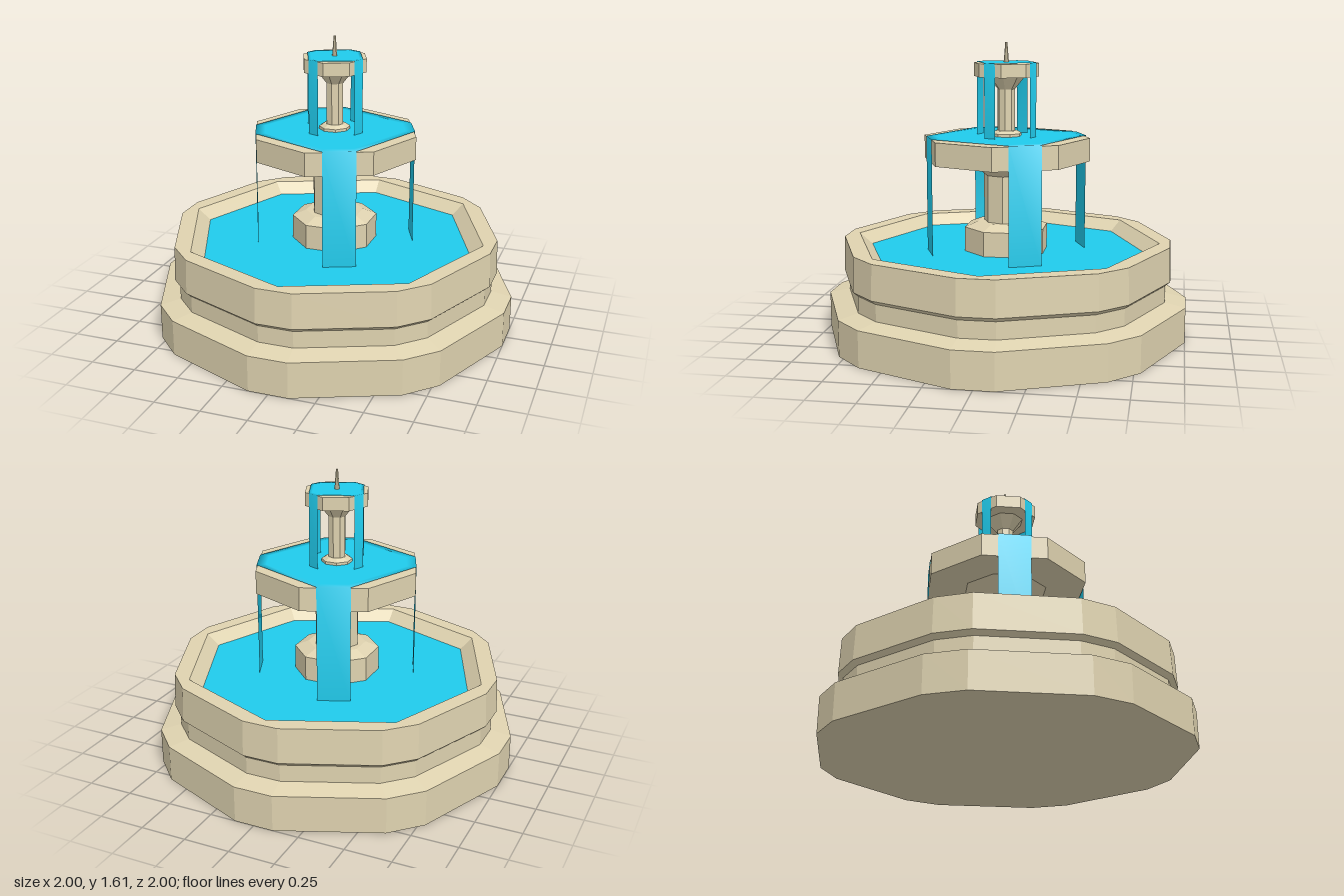
import * as THREE from 'three';

const stone = new THREE.MeshStandardMaterial({ color: 0xdfd3b0, flatShading: true });
const water = new THREE.MeshStandardMaterial({ color: 0x20cbec, side: THREE.DoubleSide });

function addMesh(parent, name, geometry, material) {
  const mesh = new THREE.Mesh(geometry, material);
  mesh.name = name;
  parent.add(mesh);
  return mesh;
}

// Eight-sided turned part from [radius, height] pairs, bottom to top
function octagonal(points) {
  return new THREE.LatheGeometry(points.map(([r, y]) => new THREE.Vector2(r, y)), 8);
}

// Octagonal ring with chamfered corners: [radius, height, half angle of the chamfer]
function chamfered(profile) {
  const geo = new THREE.LatheGeometry(profile.map(([r, y]) => new THREE.Vector2(r, y)), 16);
  const pos = geo.attributes.position;
  for (let i = 0; i < pos.count; i++) {
    const column = Math.floor(i / profile.length);
    const [r, y, half] = profile[i % profile.length];
    const a = Math.floor(column / 2) * Math.PI / 4 + (column % 2 ? half : -half);
    pos.setXYZ(i, r * Math.sin(a), y, r * Math.cos(a));
  }
  geo.computeVertexNormals();
  return geo;
}

// Water surface reaching the lip on four sides, bending into a falling sheet at each
function spill(radius, top, bottom, width, startAngle) {
  const apothem = radius * Math.cos(Math.PI / 8) + 0.004;
  const positions = [0, top, 0];
  const indices = [];
  for (let i = 0; i < 8; i++) {
    const a = startAngle + Math.floor(i / 2) * Math.PI / 2;
    const side = i % 2 ? width / 2 : -width / 2;
    const x = apothem * Math.sin(a) + side * Math.cos(a);
    const z = apothem * Math.cos(a) - side * Math.sin(a);
    // Three points per corner: inner surface, lip, foot of the sheet
    positions.push(x * 0.88, top, z * 0.88, x, top, z, x, bottom, z);
    const p = 1 + i * 3;
    const q = 1 + ((i + 1) % 8) * 3;
    indices.push(0, p, q, p, p + 1, q + 1, p, q + 1, q);
    if (i % 2 === 0) indices.push(p + 1, p + 2, q + 2, p + 1, q + 2, q + 1);
  }
  const geo = new THREE.BufferGeometry();
  geo.setAttribute('position', new THREE.Float32BufferAttribute(positions, 3));
  geo.setIndex(indices);
  geo.computeVertexNormals();
  return geo;
}

export function createModel() {
  const fountain = new THREE.Group();
  fountain.name = 'fountain';
  const c = 0.107; // half angle of the corner chamfers
  const poolLevel = 0.465;

  // Stepped basin with an octagonal pool opening
  addMesh(fountain, 'basin', chamfered([
    [0, 0, c], [1.006, 0, c], [1.006, 0.197, c], [0.893, 0.22, c], [0.893, 0.312, c],
    [0.92, 0.335, c], [0.913, 0.525, c], [0.85, 0.525, 0], [0.765, poolLevel - 0.01, 0],
  ]), stone);
  const pool = addMesh(fountain, 'poolWater', new THREE.CircleGeometry(0.777, 8), water);
  pool.rotation.x = -Math.PI / 2;
  pool.position.y = poolLevel;

  // Lower pedestal, turned half a side from the column
  const foot = addMesh(fountain, 'pedestalFoot',
    octagonal([[0.235, 0.44], [0.235, 0.6], [0.16, 0.63], [0, 0.63]]), stone);
  foot.rotation.y = Math.PI / 8;
  addMesh(fountain, 'lowerColumn', octagonal([[0.125, 0.62], [0.125, 0.89], [0.24, 0.972]]), stone);
  addMesh(fountain, 'lowerBowl', octagonal([[0, 0.97], [0.462, 0.97], [0.462, 1.098], [0, 1.098]]), stone);
  addMesh(fountain, 'lowerSpill', spill(0.462, 1.103, poolLevel, 0.177, Math.PI / 8), water);

  // Upper pedestal and bowl
  const upperFoot = addMesh(fountain, 'upperFoot',
    octagonal([[0.085, 1.098], [0.085, 1.118], [0.06, 1.133], [0, 1.133]]), stone);
  upperFoot.rotation.y = Math.PI / 8;
  addMesh(fountain, 'upperColumn', octagonal([[0.048, 1.125], [0.048, 1.36], [0.105, 1.432]]), stone);
  addMesh(fountain, 'upperBowl', octagonal([[0, 1.43], [0.18, 1.43], [0.18, 1.503], [0, 1.503]]), stone);
  addMesh(fountain, 'upperSpill', spill(0.18, 1.507, 1.103, 0.067, -Math.PI / 8), water);

  // Finial
  addMesh(fountain, 'finial', octagonal([[0.015, 1.5], [0.006, 1.614], [0, 1.614]]), stone);

  return fountain;
}
